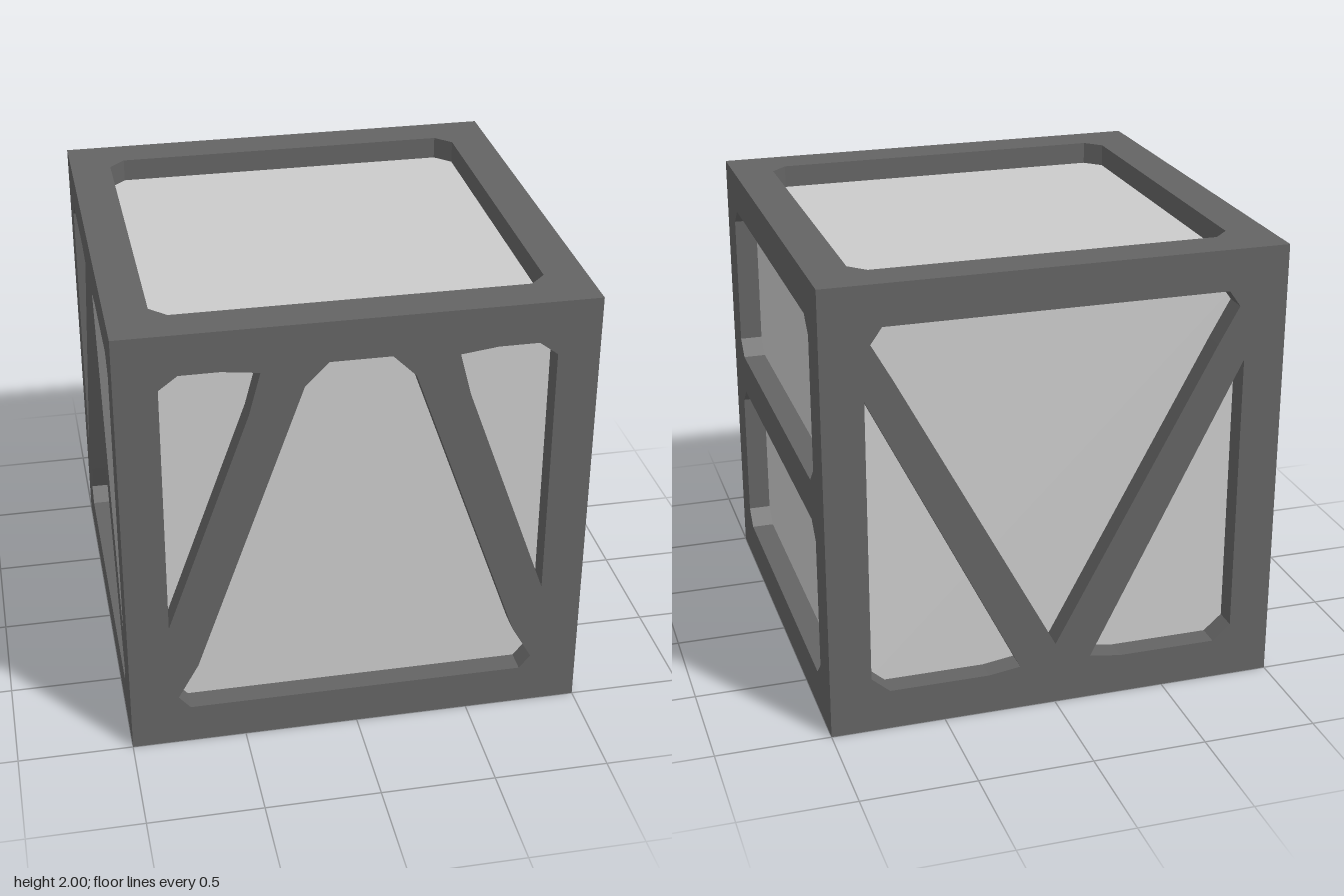
import * as THREE from 'three';

const DEPTH = 0.1; // how far the panels sit behind the frame

const flipX = (pts) => pts.map(([x, y]) => [-x, y]).reverse();
const flipY = (pts) => pts.map(([x, y]) => [x, -y]).reverse();
// closes a half outline (x >= 0) with its mirror image
const symmetric = (half) => [...half, ...flipX(half.filter(([x]) => x !== 0))];

// rectangular window with clipped corners
function clipped(y0, y1, c = 0.07) {
  const w = 0.82;
  return symmetric([[w - c, y0], [w, y0 + c], [w, y1 - c], [w - c, y1]]);
}

// windows of a face whose two slanted braces lean together: one middle, two sides
const braced = (middle, side) => [symmetric(middle), side, flipX(side)];

// front: braces apart at the top, running into the lower corners
const trapezoidWindows = braced(
  [[0.74, -0.82], [0.79, -0.76], [0.7, -0.6], [0.23, 0.72], [0.13, 0.82]],
  [[0.82, -0.39], [0.82, 0.76], [0.74, 0.82], [0.57, 0.82], [0.41, 0.8], [0.46, 0.61]]
);
// left: braces meeting at the top centre; back: the same turned upside down
const peakWindows = braced(
  [[0.74, -0.82], [0.79, -0.75], [0.7, -0.59], [0, 0.715]],
  [[0.82, -0.51], [0.82, 0.75], [0.74, 0.82], [0.3, 0.82], [0.16, 0.8]]
);
const veeWindows = peakWindows.map(flipY);
const stackedWindows = [clipped(-0.82, -0.09), clipped(0.09, 0.82)];
const singleWindow = [clipped(-0.82, 0.82)];

// square frame plate with window holes, its outer edge mitred at 45 degrees
function framePlate(windows) {
  const toVectors = (pts) => pts.map(([x, y]) => new THREE.Vector2(x, y));
  const shape = new THREE.Shape(toVectors([[-1, -1], [1, -1], [1, 1], [-1, 1]]));
  shape.holes = windows.map((w) => new THREE.Path(toVectors(w)));
  const geo = new THREE.ExtrudeGeometry(shape, { depth: DEPTH, bevelEnabled: false });
  geo.translate(0, 0, 1 - DEPTH);
  const p = geo.attributes.position;
  for (let i = 0; i < p.count; i++) {
    if (p.getZ(i) > 1 - DEPTH / 2 || Math.abs(p.getX(i)) < 0.99) continue;
    p.setXY(i, p.getX(i) * (1 - DEPTH), p.getY(i) * (1 - DEPTH));
  }
  geo.computeVertexNormals();
  return geo;
}

export function createModel() {
  const crate = new THREE.Group();
  crate.name = 'crate';
  const frameMaterial = new THREE.MeshStandardMaterial({ color: 0x646464 });
  const panelMaterial = new THREE.MeshStandardMaterial({ color: 0xcccccc });

  // recessed panels: one inner box
  const inner = 2 - 2 * DEPTH;
  const panels = new THREE.Mesh(new THREE.BoxGeometry(inner, inner, inner), panelMaterial);
  panels.name = 'innerPanels';
  panels.position.y = 1;
  crate.add(panels);

  // six frame plates: name, windows, rotation about x, rotation about y
  const q = Math.PI / 2;
  const faces = [
    ['frontFrame', trapezoidWindows, 0, 0],
    ['rightFrame', stackedWindows, 0, q],
    ['backFrame', veeWindows, 0, 2 * q],
    ['leftFrame', peakWindows, 0, -q],
    ['topFrame', singleWindow, -q, 0],
    ['bottomFrame', singleWindow, q, 0],
  ];
  for (const [name, windows, rx, ry] of faces) {
    const frame = new THREE.Mesh(framePlate(windows), frameMaterial);
    frame.name = name;
    frame.rotation.set(rx, ry, 0);
    frame.position.y = 1;
    crate.add(frame);
  }
  return crate;
}
